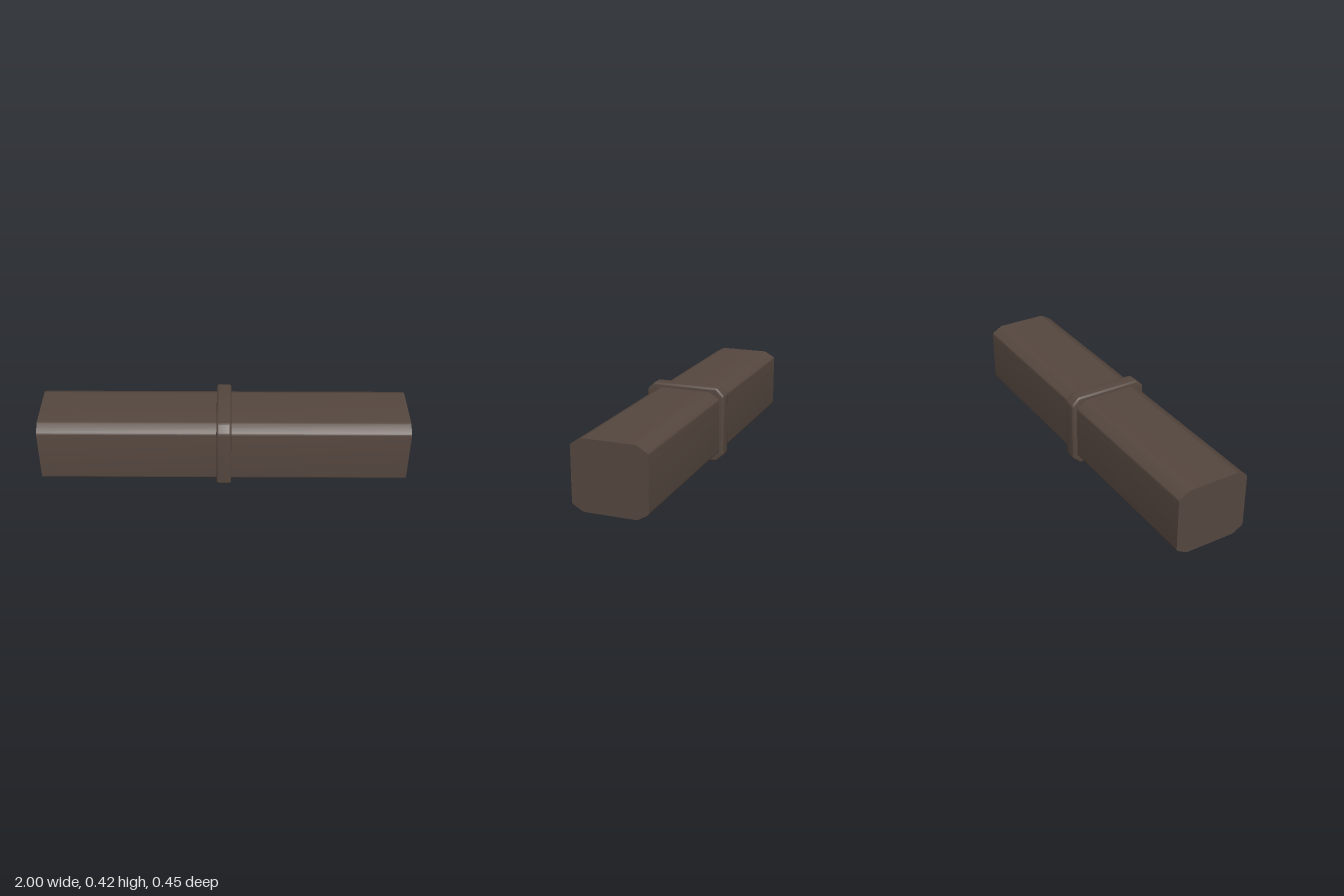
import * as THREE from 'three';
import { toCreasedNormals } from 'three/addons/utils/BufferGeometryUtils.js';

const MID_Y = 0.21;

// Rectangle with cut corners (cutX by cutY), each resulting corner slightly rounded
function cutCornerShape(halfW, halfH, cutX, cutY, round) {
  const a = halfW - cutX, b = halfH - cutY;
  const corners = [
    [halfW, -b], [halfW, b], [a, halfH], [-a, halfH],
    [-halfW, b], [-halfW, -b], [-a, -halfH], [a, -halfH],
  ].map(([x, y]) => new THREE.Vector2(x, y));
  const toward = (p, q) => q.clone().sub(p).setLength(round).add(p);
  const shape = new THREE.Shape();
  corners.forEach((p, i) => {
    const start = toward(p, corners[(i + 7) % 8]);
    const end = toward(p, corners[(i + 1) % 8]);
    if (i === 0) shape.moveTo(start.x, start.y);
    else shape.lineTo(start.x, start.y);
    shape.quadraticCurveTo(p.x, p.y, end.x, end.y);
  });
  shape.closePath();
  return shape;
}

// Extrudes a section along x, centred, with optional rounded rims
function bar(name, shape, length, rim, material) {
  const geometry = new THREE.ExtrudeGeometry(shape, {
    depth: length - 2 * rim,
    curveSegments: 4,
    bevelEnabled: rim > 0,
    bevelThickness: rim,
    bevelSize: rim,
    bevelOffset: -rim,
    bevelSegments: 4,
  });
  geometry.translate(0, 0, rim - length / 2);
  geometry.rotateY(Math.PI / 2);
  const mesh = new THREE.Mesh(toCreasedNormals(geometry, 0.5), material);
  mesh.name = name;
  mesh.position.y = MID_Y;
  return mesh;
}

export function createModel() {
  const group = new THREE.Group();
  group.name = 'collaredBeam';
  const darkWood = new THREE.MeshStandardMaterial({ color: 0x55473f });
  darkWood.name = 'dark brown';

  // Long beam with chamfered edges
  group.add(bar('beam', cutCornerShape(0.2, 0.185, 0.06, 0.035, 0.01), 2, 0, darkWood));
  // Raised band around the middle
  group.add(bar('collar', cutCornerShape(0.225, 0.21, 0.042, 0.042, 0.01), 0.08, 0.013, darkWood));
  return group;
}
